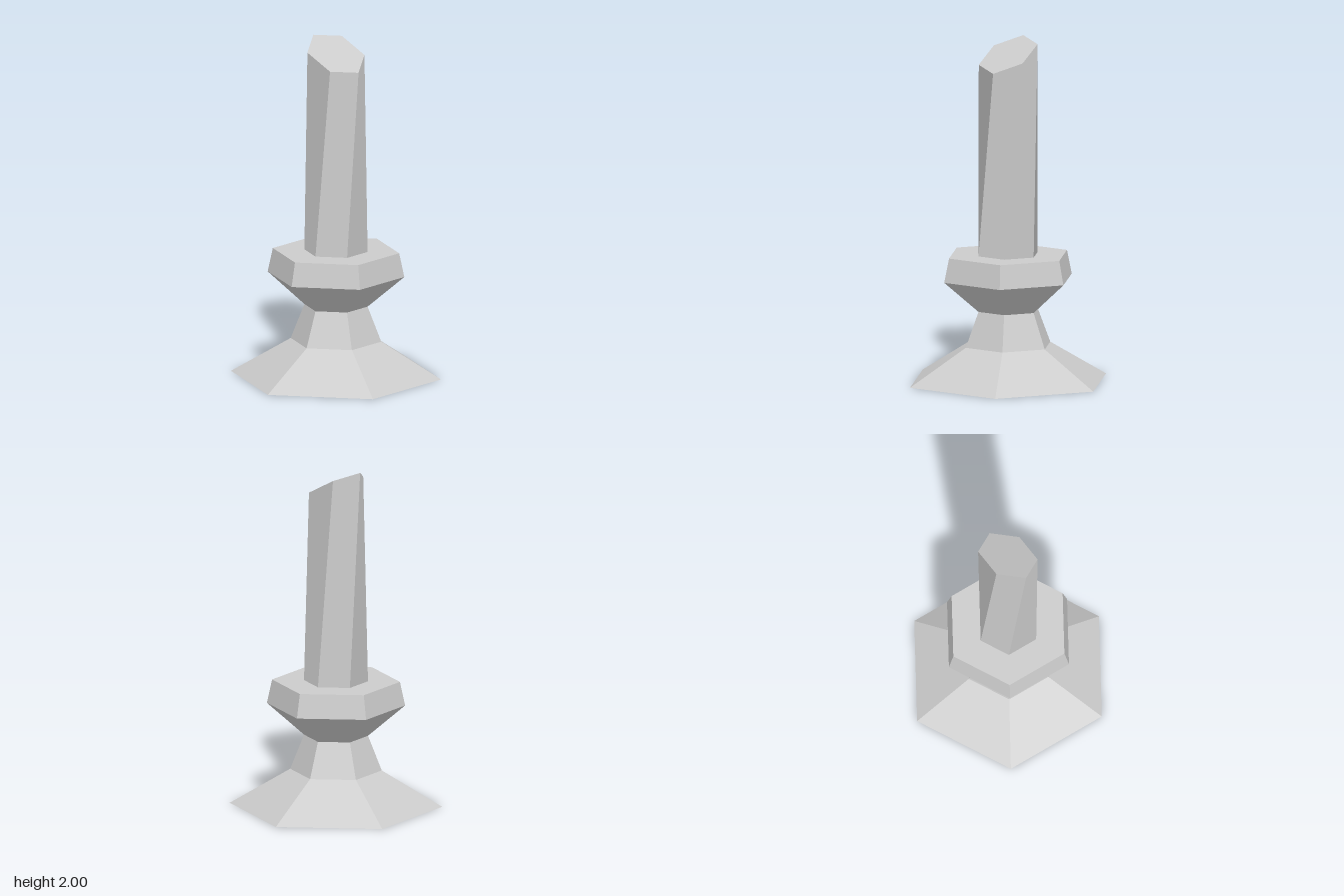
import * as THREE from 'three';

const material = new THREE.MeshStandardMaterial({ color: 0xcccccc, flatShading: true });

// Hexagonal foot, neck and drip dish turned from one profile
function createStand() {
  const profile = [[0, 0], [0.615, 0], [0.265, 0.21], [0.185, 0.415], [0.4, 0.6], [0.37, 0.74], [0, 0.74]]
    .map(([r, y]) => new THREE.Vector2(r, y));
  const mesh = new THREE.Mesh(new THREE.LatheGeometry(profile, 6), material);
  mesh.name = 'stand';
  return mesh;
}

// Twisted six-sided candle with a slanted top; each side keeps one flat normal
function createCandle() {
  const bottom = [];
  for (let i = 0; i < 6; i++) {
    const a = (i * Math.PI) / 3;
    bottom.push(new THREE.Vector3(Math.sin(a) * 0.185, 0.74, Math.cos(a) * 0.185));
  }
  const top = [
    [0.09, 1.82, 0.132], [0.18, 1.885, -0.014], [0.09, 1.975, -0.147],
    [-0.09, 2, -0.134], [-0.18, 1.935, 0.012], [-0.09, 1.845, 0.145],
  ].map((p) => new THREE.Vector3(...p));

  const positions = [], normals = [];
  const addTriangles = (points, normal) => points.forEach((p) => {
    positions.push(p.x, p.y, p.z);
    normals.push(normal.x, normal.y, normal.z);
  });
  const crossOf = (a, b, c, d) => b.clone().sub(a).cross(d.clone().sub(c)).normalize();

  // Sides
  for (let i = 0; i < 6; i++) {
    const j = (i + 1) % 6;
    const [a, b, c, d] = [bottom[i], bottom[j], top[j], top[i]];
    addTriangles([a, b, d, b, c, d], crossOf(a, c, b, d));
  }
  // Slanted top and flat underside
  const up = crossOf(top[0], top[2], top[0], top[4]);
  const down = new THREE.Vector3(0, -1, 0);
  for (let i = 1; i < 5; i++) {
    addTriangles([top[0], top[i], top[i + 1]], up);
    addTriangles([bottom[0], bottom[i + 1], bottom[i]], down);
  }

  const geometry = new THREE.BufferGeometry();
  geometry.setAttribute('position', new THREE.Float32BufferAttribute(positions, 3));
  geometry.setAttribute('normal', new THREE.Float32BufferAttribute(normals, 3));
  const mesh = new THREE.Mesh(geometry, new THREE.MeshStandardMaterial({ color: 0xcccccc }));
  mesh.name = 'candle';
  return mesh;
}

export function createModel() {
  const group = new THREE.Group();
  group.name = 'candlestick';
  group.add(createStand(), createCandle());
  return group;
}
